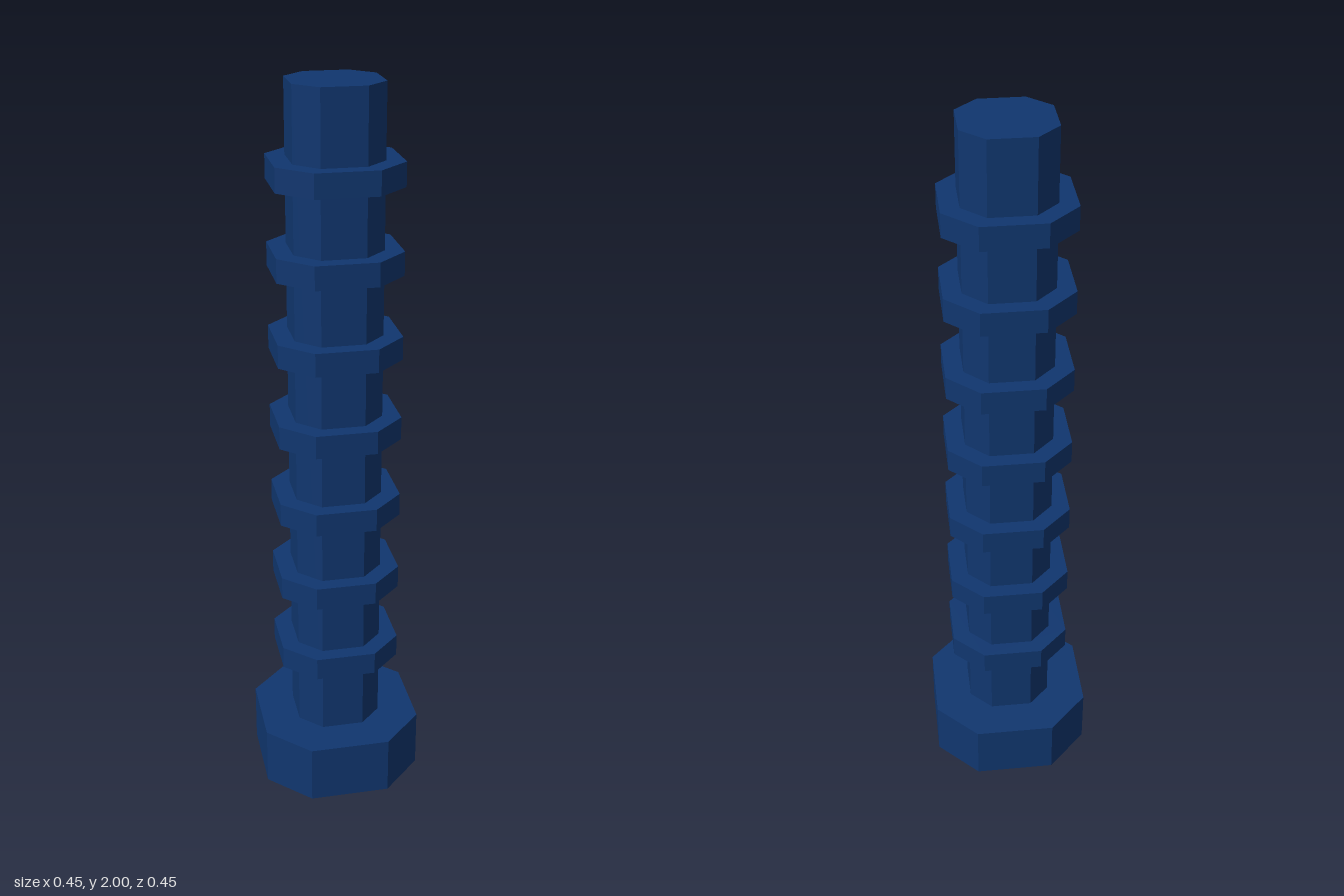
import * as THREE from 'three';

const material = new THREE.MeshStandardMaterial({ color: 0x10366f, flatShading: true });

// Octagonal block: a rectangle whose corners are cut at half of each half-width
function octagon(name, halfX, halfZ, bottom, height) {
  const cx = halfX / 2, cz = halfZ / 2;
  const shape = new THREE.Shape([
    [halfX, -cz], [halfX, cz], [cx, halfZ], [-cx, halfZ],
    [-halfX, cz], [-halfX, -cz], [-cx, -halfZ], [cx, -halfZ],
  ].map(([x, y]) => new THREE.Vector2(x, y)));
  const geometry = new THREE.ExtrudeGeometry(shape, { depth: height, bevelEnabled: false });
  geometry.rotateX(-Math.PI / 2);
  const mesh = new THREE.Mesh(geometry, material);
  mesh.name = name;
  mesh.position.y = bottom;
  return mesh;
}

export function createModel() {
  const bolt = new THREE.Group();
  bolt.name = 'bolt';

  // Head at the bottom, with the shaft standing on it
  bolt.add(octagon('head', 0.224, 0.224, 0, 0.168));
  bolt.add(octagon('shaft', 0.118, 0.118, 0.168, 1.832));

  // Evenly spaced thread rings
  const threads = new THREE.Group();
  threads.name = 'threads';
  for (let i = 0; i < 7; i++) {
    threads.add(octagon(`threadRing${i + 1}`, 0.166, 0.161, 0.367 + i * 0.2293, 0.064));
  }
  bolt.add(threads);

  return bolt;
}
